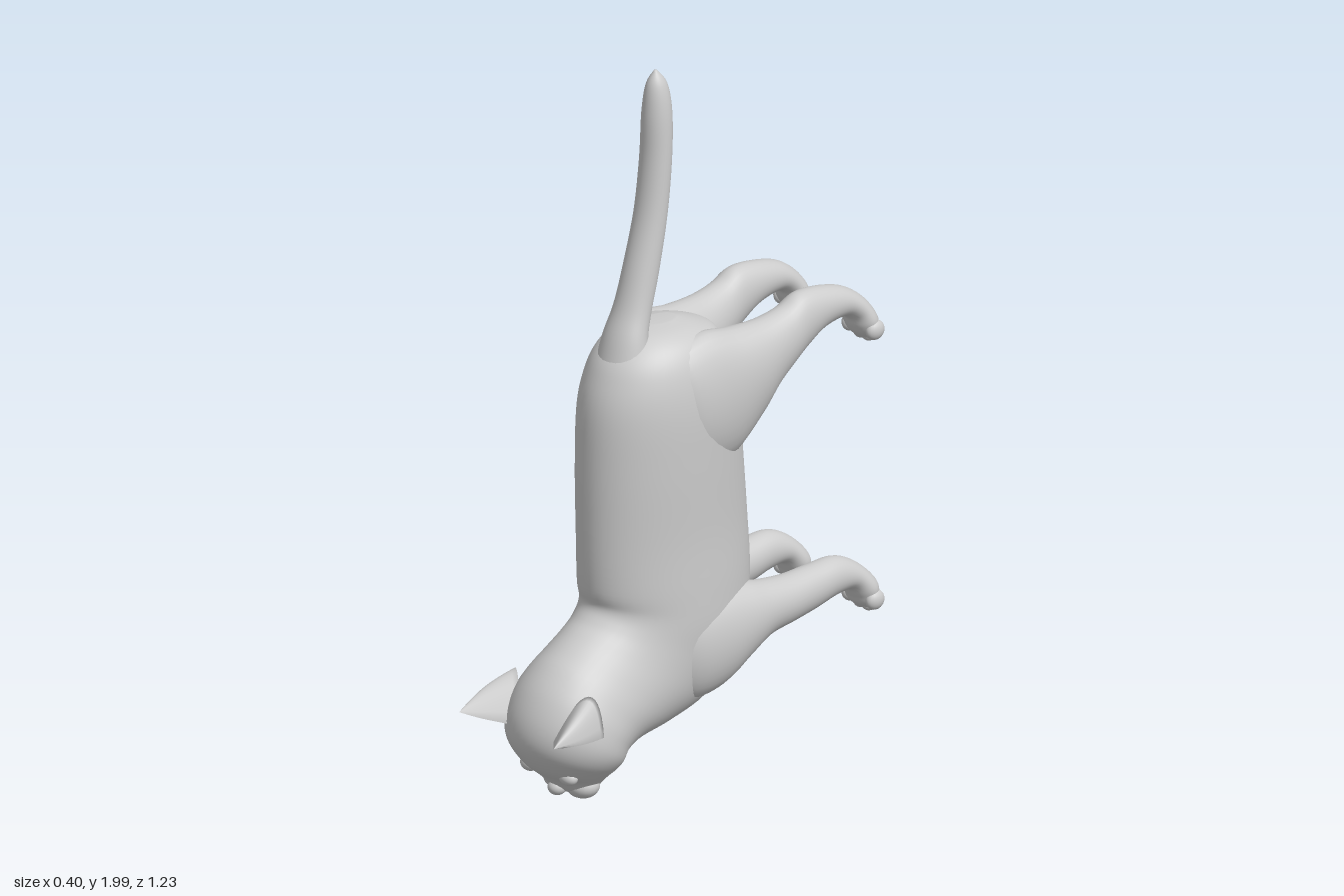
import * as THREE from 'three';

const material = new THREE.MeshStandardMaterial({ color: 0xcccccc, roughness: 0.8 });
const thinMaterial = new THREE.MeshStandardMaterial({ color: 0xcccccc, roughness: 0.8, side: THREE.DoubleSide });

function spline(a, b, c, d, t) {
  return b + 0.5 * t * (c - a + t * (2 * a - 5 * b + 4 * c - d + t * (3 * (b - c) + d - a)));
}

// Closed skin over rings of points, with a centre point capping each end
function skin(rings, flip) {
  const n = rings[0].length, pos = [], idx = [];
  rings.forEach(r => r.forEach(p => pos.push(p.x, p.y, p.z)));
  const tri = (a, b, c) => (flip ? idx.push(a, c, b) : idx.push(a, b, c));
  for (let i = 0; i < rings.length - 1; i++) {
    for (let j = 0; j < n; j++) {
      const a = i * n + j, b = i * n + (j + 1) % n;
      tri(a, b, a + n);
      tri(b, b + n, a + n);
    }
  }
  [0, rings.length - 1].forEach((i, end) => {
    const c = new THREE.Vector3();
    rings[i].forEach(p => c.addScaledVector(p, 1 / n));
    const k = pos.push(c.x, c.y, c.z) / 3 - 1;
    for (let j = 0; j < n; j++) {
      const a = i * n + j, b = i * n + (j + 1) % n;
      if (end) tri(a, b, k); else tri(b, a, k);
    }
  });
  const geo = new THREE.BufferGeometry();
  geo.setAttribute('position', new THREE.Float32BufferAttribute(pos, 3));
  geo.setIndex(idx);
  geo.computeVertexNormals();
  return geo;
}

// Oval loft. Section: [z, y of one edge, z, y of the opposite edge, half width, centre x]
function loft(sections, side = 1, segments = 32, steps = 6) {
  const rings = [], last = sections.length - 1;
  const at = i => sections[Math.min(Math.max(i, 0), last)];
  for (let k = 0; k <= last * steps; k++) {
    const i = Math.min(Math.floor(k / steps), last - 1), t = k / steps - i;
    const [z1, y1, z2, y2, w, cx] = [0, 1, 2, 3, 4, 5].map(m =>
      spline(at(i - 1)[m] ?? 0, at(i)[m] ?? 0, at(i + 1)[m] ?? 0, at(i + 2)[m] ?? 0, t));
    rings.push(Array.from({ length: segments }, (_, j) => {
      const a = j / segments * Math.PI * 2, c = Math.cos(a) / 2;
      return new THREE.Vector3(side * cx + w * Math.sin(a),
        (y1 + y2) / 2 + (y1 - y2) * c, (z1 + z2) / 2 + (z1 - z2) * c);
    }));
  }
  // Compare ring turning direction with the direction of travel
  const s = sections[last >> 1], e = sections[(last >> 1) + 1];
  const dy = s[1] - s[3], dz = s[0] - s[2];
  const py = e[1] + e[3] - s[1] - s[3], pz = e[0] + e[2] - s[0] - s[2];
  return skin(rings, dz * py - dy * pz < 0);
}

const torso = [
  [0.10, 1.283, 0.00, 1.283, 0.03], [0.17, 1.27, -0.06, 1.265, 0.09],
  [0.23, 1.23, -0.12, 1.235, 0.135], [0.27, 1.17, -0.16, 1.16, 0.165],
  [0.30, 1.07, -0.19, 1.05, 0.18], [0.31, 0.90, -0.205, 0.90, 0.18],
  [0.31, 0.70, -0.225, 0.70, 0.175], [0.305, 0.57, -0.235, 0.52, 0.178],
  [0.295, 0.52, -0.215, 0.37, 0.178], [0.32, 0.487, -0.15, 0.255, 0.17],
  [0.36, 0.46, -0.06, 0.178, 0.165], [0.41, 0.425, 0.07, 0.142, 0.165],
  [0.46, 0.385, 0.18, 0.128, 0.17], [0.51, 0.325, 0.235, 0.115, 0.177],
  [0.543, 0.25, 0.255, 0.09, 0.175], [0.545, 0.18, 0.27, 0.075, 0.155],
  [0.51, 0.115, 0.28, 0.06, 0.12], [0.46, 0.07, 0.29, 0.045, 0.09],
  [0.42, 0.03, 0.31, 0.03, 0.07], [0.38, 0.014, 0.34, 0.016, 0.025],
];

const tail = [
  [0.26, 1.16, 0.10, 1.14, 0.09], [0.23, 1.265, 0.12, 1.25, 0.07],
  [0.195, 1.35, 0.105, 1.32, 0.057], [0.165, 1.45, 0.073, 1.43, 0.052],
  [0.125, 1.60, 0.04, 1.59, 0.049], [0.105, 1.75, 0.022, 1.75, 0.047],
  [0.10, 1.88, 0.018, 1.88, 0.042], [0.09, 1.96, 0.03, 1.96, 0.028],
  [0.068, 2.0, 0.06, 2.0, 0.004],
];

const hindLeg = [
  [0.16, 1.18, 0.12, 0.92, 0.04, 0.09], [0.10, 1.23, 0.04, 0.88, 0.075, 0.105],
  [0.00, 1.258, -0.09, 0.88, 0.088, 0.107], [-0.10, 1.247, -0.19, 0.97, 0.084, 0.113],
  [-0.20, 1.245, -0.25, 1.045, 0.07, 0.12], [-0.28, 1.26, -0.31, 1.095, 0.059, 0.124],
  [-0.34, 1.287, -0.36, 1.13, 0.053, 0.125], [-0.42, 1.283, -0.42, 1.165, 0.049, 0.125],
  [-0.50, 1.262, -0.49, 1.178, 0.046, 0.127], [-0.56, 1.222, -0.52, 1.165, 0.05, 0.13],
  [-0.598, 1.17, -0.53, 1.14, 0.058, 0.132], [-0.602, 1.13, -0.54, 1.12, 0.05, 0.132],
  [-0.585, 1.105, -0.56, 1.10, 0.03, 0.132],
];

const foreLeg = [
  [0.16, 0.45, 0.14, 0.27, 0.04, 0.09], [0.08, 0.51, 0.05, 0.22, 0.075, 0.105],
  [-0.03, 0.525, -0.05, 0.235, 0.085, 0.112], [-0.13, 0.512, -0.14, 0.295, 0.078, 0.12],
  [-0.20, 0.497, -0.21, 0.337, 0.068, 0.125], [-0.29, 0.488, -0.29, 0.352, 0.06, 0.128],
  [-0.38, 0.491, -0.38, 0.367, 0.054, 0.128], [-0.47, 0.493, -0.455, 0.385, 0.049, 0.129],
  [-0.54, 0.462, -0.51, 0.39, 0.049, 0.13], [-0.598, 0.405, -0.53, 0.365, 0.058, 0.132],
  [-0.602, 0.355, -0.54, 0.343, 0.05, 0.132], [-0.585, 0.33, -0.56, 0.325, 0.03, 0.132],
];

// Hollow ear: a bowed back and a shallower inner face shrinking to the tip
function earGeometry(side) {
  const V = (x, y, z) => new THREE.Vector3(side * x, y, z);
  const inner = V(0.065, 0.215, 0.5), outer = V(0.188, 0.235, 0.43), tip = V(0.184, 0.25, 0.612);
  const back = new THREE.QuadraticBezierCurve3(inner, V(0.155, 0.46, 0.42), outer).getPoints(14);
  const front = new THREE.QuadraticBezierCurve3(outer, V(0.152, 0.40, 0.43), inner).getPoints(14).slice(1, -1);
  const rings = [];
  for (let i = 0; i <= 12; i++) {
    const t = i / 12, shrink = t * t * 0.25 + t * 0.74;
    const bulge = V(0.012, 0, 0.012).multiplyScalar(Math.sin(Math.PI * t));
    rings.push([...back, ...front].map(p => p.clone().lerp(tip, shrink).add(bulge)));
  }
  return skin(rings, side > 0);
}

export function createModel() {
  const group = new THREE.Group();
  const add = (name, geo, mat = material) => {
    const mesh = new THREE.Mesh(geo, mat);
    mesh.name = name;
    group.add(mesh);
    return mesh;
  };
  const blob = (name, x, y, z, sx, sy, sz, rx = 0) => {
    const mesh = add(name, new THREE.SphereGeometry(1, 20, 14));
    mesh.position.set(x, y, z);
    mesh.scale.set(sx, sy, sz);
    mesh.rotation.x = rx;
  };

  add('bodyAndHead', loft(torso, 1, 48));
  add('tail', loft(tail));

  // Face, turned toward the ground
  blob('nose', 0, 0.038, 0.425, 0.026, 0.022, 0.026);
  blob('chin', 0, 0.042, 0.318, 0.05, 0.03, 0.035);

  for (const side of [1, -1]) {
    const label = side > 0 ? 'left' : 'right';
    add(label + 'Ear', earGeometry(side), thinMaterial);
    blob(label + 'Cheek', side * 0.042, 0.043, 0.372, 0.05, 0.037, 0.045);
    blob(label + 'Eye', side * 0.075, 0.094, 0.455, 0.03, 0.022, 0.022, 0.5);
    // Legs with four toes on each paw
    for (const [leg, sections, y] of [['HindLeg', hindLeg, 1.118], ['ForeLeg', foreLeg, 0.342]]) {
      add(label + leg, loft(sections, side));
      for (let i = 0; i < 4; i++) {
        const mid = i === 1 || i === 2;
        blob(label + leg + 'Toe', side * (0.086 + i * 0.031), y + (mid ? -0.002 : 0.012),
          mid ? -0.585 : -0.573, 0.02, 0.028, 0.03);
      }
    }
  }
  return group;
}
